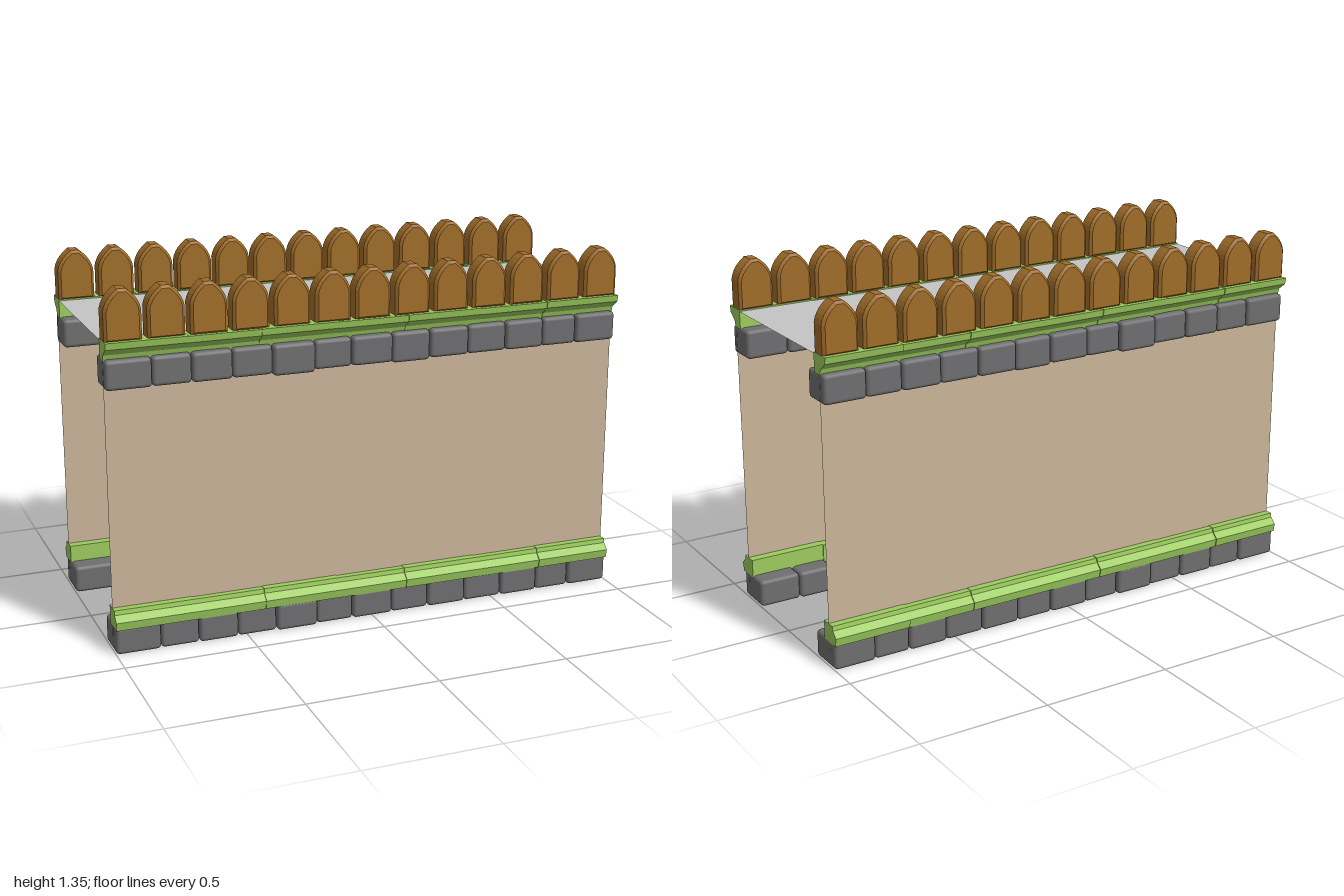
import * as THREE from 'three';
import { RoundedBoxGeometry } from 'three/addons/geometries/RoundedBoxGeometry.js';

const mat = (name, color, side = THREE.FrontSide) => {
  const m = new THREE.MeshStandardMaterial({ color, side });
  m.name = name;
  return m;
};

export function createModel() {
  const stone = mat('stone grey', 0x6e6e70);
  const green = mat('trim green', 0x9ccb5e);
  const wood = mat('wood brown', 0xa06d29);
  const plaster = mat('plaster tan', 0xcab499, THREE.DoubleSide);
  const deck = mat('deck grey', 0xc4c4c4, THREE.DoubleSide);

  const stoneEdges = [-1, -0.83, -0.685, -0.535, -0.385, -0.225, -0.08, 0.08, 0.23, 0.385, 0.54, 0.695, 0.835, 1];
  const trimEdges = [-1, -0.7, -0.43, -0.135, 0.135, 0.43, 0.7, 1];

  // Trim cross-sections as [z, y]: the cap flares upward, the plinth downward
  const capProfile = [[0.303, 1.09], [0.345, 1.09], [0.352, 1.112], [0.385, 1.138], [0.39, 1.163], [0.303, 1.163]];
  const plinthProfile = [[0.305, 0.095], [0.39, 0.095], [0.397, 0.128], [0.373, 0.15], [0.37, 0.167], [0.305, 0.167]];

  // Pointed plank with bevelled edges
  const hw = 0.058;
  const plankShape = new THREE.Shape();
  plankShape.moveTo(-hw, 1.17);
  plankShape.lineTo(hw, 1.17);
  plankShape.lineTo(hw, 1.27);
  plankShape.quadraticCurveTo(hw - 0.006, 1.308, 0.012, 1.338);
  plankShape.lineTo(-0.012, 1.338);
  plankShape.quadraticCurveTo(-hw + 0.006, 1.308, -hw, 1.27);
  const plankGeo = new THREE.ExtrudeGeometry(plankShape, {
    depth: 0.055, bevelEnabled: true, bevelThickness: 0.01, bevelSize: 0.01, bevelSegments: 1, curveSegments: 5,
  });
  plankGeo.translate(0, 0, 0.314);

  // One long side, facing +z; dir reverses the order along x for the back
  function wallSide(name, dir) {
    const side = new THREE.Group();
    side.name = name;
    const add = (geo, material, label, x = 0, y = 0, z = 0) => {
      const m = new THREE.Mesh(geo, material);
      m.name = label;
      m.position.set(x * dir, y, z);
      side.add(m);
    };

    add(new THREE.PlaneGeometry(2, 1.04), plaster, 'wallPanel', 0, 0.58, 0.345);

    // Stone courses at the foot and under the battlement
    const course = (label, y0, y1, z0, z1) => {
      for (let i = 0; i < stoneEdges.length - 1; i++) {
        const a = stoneEdges[i], b = stoneEdges[i + 1];
        const drop = i === 4 || i === 7 ? 0.006 : 0;
        const push = i === 4 ? 0.006 : i % 2 ? -0.004 : 0;
        const low = Math.max(0, y0 - drop);
        const geo = new RoundedBoxGeometry(b - a - 0.002, y1 - low, z1 - z0, 2, 0.014);
        add(geo, stone, label, (a + b) / 2, (low + y1) / 2, (z0 + z1) / 2 + push);
      }
    };
    course('baseStone', 0, 0.105, 0.237, 0.389);
    course('upperStone', 0.988, 1.097, 0.252, 0.377);

    // Moulded trim made of short lengths
    const trim = (label, profile) => {
      const shape = new THREE.Shape(profile.map(p => new THREE.Vector2(p[0], p[1])));
      for (let i = 0; i < trimEdges.length - 1; i++) {
        const a = trimEdges[i], b = trimEdges[i + 1];
        const geo = new THREE.ExtrudeGeometry(shape, { depth: b - a, bevelEnabled: false });
        geo.rotateY(-Math.PI / 2);
        geo.translate((b - a) / 2, 0, 0);
        const out = i % 2 ? 0 : 0.004;
        add(geo, green, label, (a + b) / 2, out * 0.5, out);
      }
    };
    trim('capTrim', capProfile);
    trim('plinthTrim', plinthProfile);

    // Row of pointed planks
    for (let i = 0; i < 13; i++) add(plankGeo, wood, 'pointedPlank', -0.93 + i * 0.155);
    return side;
  }

  const group = new THREE.Group();
  group.name = 'battlementWall';
  const front = wallSide('frontSide', 1);
  const back = wallSide('backSide', -1);
  back.rotation.y = Math.PI;
  group.add(front, back);

  // Walkway between the two sides
  const walk = new THREE.Mesh(new THREE.PlaneGeometry(2, 0.62), deck);
  walk.name = 'walkway';
  walk.rotation.x = -Math.PI / 2;
  walk.position.y = 1.16;
  group.add(walk);

  return group;
}
